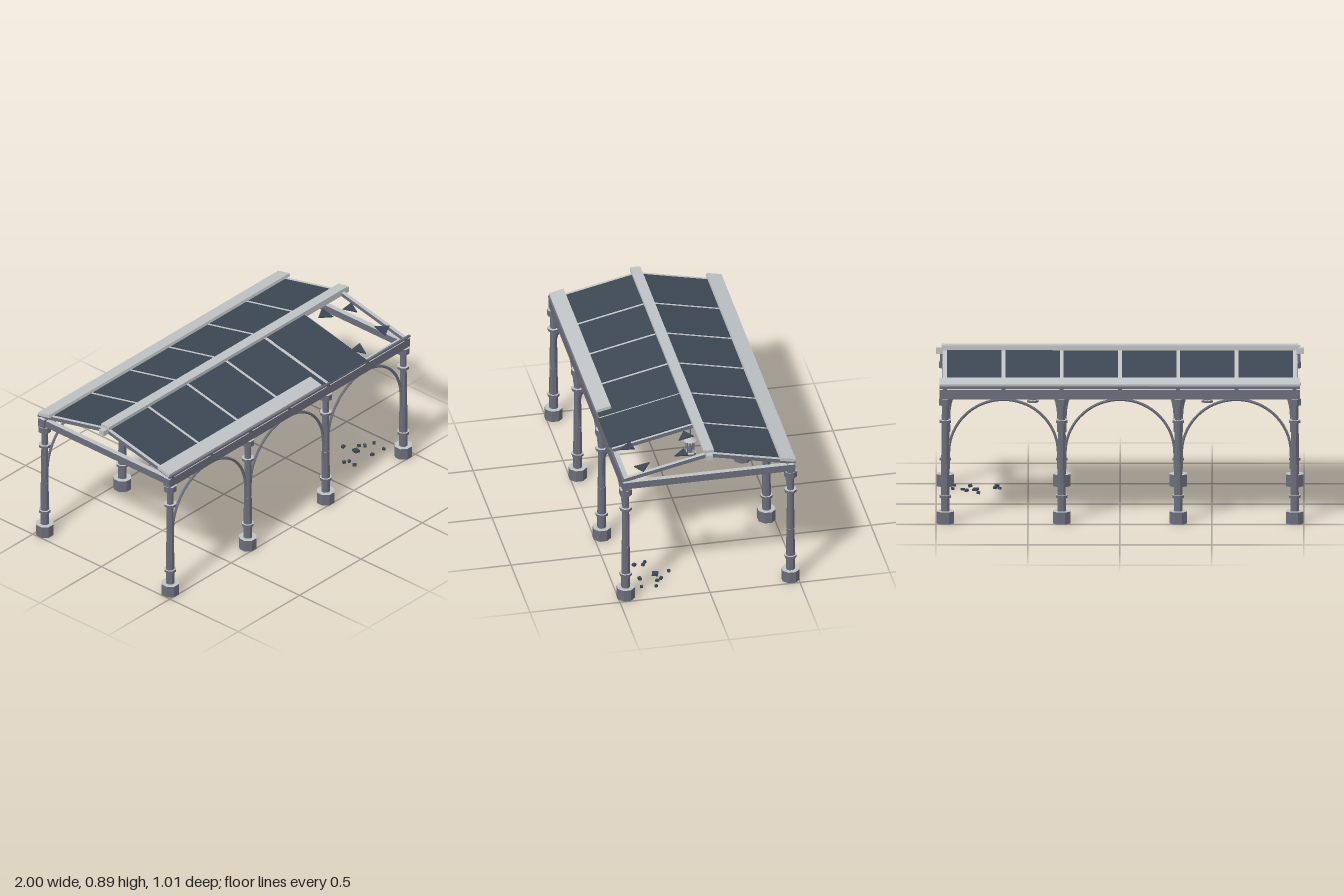
import * as THREE from 'three';

const mat = (name, color) => {
  const m = new THREE.MeshStandardMaterial({ color });
  m.name = name;
  return m;
};

export function createModel() {
  const root = new THREE.Group();
  root.name = 'canopy';
  const iron = mat('iron', 0x6b6d7b);
  const pale = mat('pale metal', 0xbfc2c4);
  const glass = mat('dark glass', 0x3c4753);
  iron.flatShading = true;
  const ironBox = [iron, iron, pale, iron, iron, iron]; // pale upper face
  const ironDrum = [iron, pale, iron];

  const add = (parent, name, geo, material, x = 0, y = 0, z = 0) => {
    const m = new THREE.Mesh(geo, material);
    m.name = name;
    m.position.set(x, y, z);
    parent.add(m);
    return m;
  };
  const box = (parent, name, w, h, d, material, x, y, z) =>
    add(parent, name, new THREE.BoxGeometry(w, h, d), material, x, y, z);
  const drum = (parent, name, r0, r1, y0, y1, x = 0, z = 0) =>
    add(parent, name, new THREE.CylinderGeometry(r1, r0, y1 - y0, 8).rotateY(Math.PI / 8), ironDrum, x, (y0 + y1) / 2, z);

  // Columns
  const columnX = [-0.95, -0.317, 0.317, 0.95];
  for (const x of columnX) {
    for (const z of [-0.458, 0.458]) {
      const column = new THREE.Group();
      column.name = 'column';
      column.position.set(x, 0, z);
      drum(column, 'columnBase', 0.051, 0.051, 0, 0.067);
      drum(column, 'lowerShaft', 0.025, 0.023, 0.067, 0.325);
      drum(column, 'upperShaft', 0.022, 0.0185, 0.325, 0.66);
      drum(column, 'lowerRing', 0.034, 0.034, 0.142, 0.157);
      drum(column, 'upperRing', 0.034, 0.034, 0.56, 0.575);
      drum(column, 'capital', 0.036, 0.036, 0.658, 0.693);
      root.add(column);
    }
    box(root, 'crossBeam', 0.03, 0.04, 0.88, ironBox, x, 0.715, 0);
  }

  // Long beams, eave rails and arches
  for (const z of [-0.458, 0.458]) {
    box(root, 'longBeam', 1.96, 0.053, 0.042, ironBox, 0, 0.7175, z);
    box(root, 'eaveRail', 1.96, 0.012, 0.012, iron, 0, 0.758, Math.sign(z) * 0.476);
    for (const x of [-0.633, 0, 0.633]) {
      const points = [new THREE.Vector3(-0.297, 0.3, 0)];
      for (let i = 0; i <= 16; i++) {
        const a = Math.PI * (1 - i / 16);
        points.push(new THREE.Vector3(Math.cos(a) * 0.297, 0.39 + Math.sin(a) * 0.297, 0));
      }
      points.push(new THREE.Vector3(0.297, 0.3, 0));
      const curve = new THREE.CatmullRomCurve3(points);
      add(root, 'arch', new THREE.TubeGeometry(curve, 36, 0.008, 6), iron, x, 0, z);
    }
  }

  // Sloping roof: s is +1 for the front, -1 for the back
  const angle = Math.atan(0.222);
  const onSlope = (mesh, s, z, lift) => {
    mesh.position.z = s * z;
    mesh.position.y = 0.853 - 0.222 * z + lift;
    mesh.rotation.x = s * angle;
    return mesh;
  };
  const slopeBox = (name, w, h, z0, z1, material, x, s, lift) =>
    onSlope(box(root, name, w, h, (z1 - z0) / Math.cos(angle), material, x, 0, 0), s, (z0 + z1) / 2, lift);

  for (const s of [1, -1]) {
    for (let i = 0; i < 7; i++) {
      slopeBox('rafter', 0.022, 0.021, 0.005, 0.48, ironBox, -0.95 + i * 0.3167, s, 0);
    }
    for (let i = 0; i < 6; i++) {
      if (s === 1 && i === 5) continue;
      const loose = s === 1 && i === 4;
      slopeBox('glassPanel', loose ? 0.304 : 0.297, 0.006, 0.02, 0.48, glass, -0.792 + i * 0.3167 + (loose ? 0.005 : 0), s, loose ? 0.016 : 0.011);
    }
  }
  slopeBox('backEaveBoard', 1.96, 0.018, 0.397, 0.48, pale, 0, -1, 0.022);
  slopeBox('frontEaveBoard', 1.242, 0.018, 0.393, 0.476, pale, -0.359, 1, 0.022);

  // Ridge
  box(root, 'ridgeBeam', 2, 0.032, 0.034, pale, 0, 0.857, 0);
  box(root, 'ridgeCap', 1.94, 0.018, 0.058, pale, 0, 0.881, 0);

  // Glass shards left in the broken bay: x, z, size, turn
  const shards = [[0.73, 0.08, 0.05, 0.5], [0.885, 0.13, 0.046, 0.1], [0.668, 0.385, 0.05, 2.2], [0.9, 0.355, 0.05, 1.5]];
  for (const [x, z, r, turn] of shards) {
    const geo = new THREE.CylinderGeometry(r, r, 0.006, 3).rotateY(turn);
    onSlope(add(root, 'glassShard', geo, glass, x, 0, 0), 1, z, 0.012);
  }

  // Broken glass on the ground: x, z, size
  const debris = [[0.77, 0.18, 0.011], [0.785, 0.26, 0.02], [0.835, 0.238, 0.011], [0.855, 0.262, 0.011], [0.91, 0.28, 0.009],
    [0.815, 0.352, 0.012], [0.9, 0.36, 0.009], [0.655, 0.29, 0.01], [0.68, 0.305, 0.01], [0.67, 0.352, 0.012]];
  debris.forEach(([x, z, r], i) => {
    const chunk = add(root, 'glassDebris', new THREE.BoxGeometry(r * 1.7, 0.013, r * 1.5), glass, x, 0.023, z);
    chunk.rotation.set(0.2 * Math.sin(i * 2), i * 1.3, 0.2 * Math.cos(i * 3));
  });

  // Hanging lanterns
  for (const x of [-0.475, 0.475]) {
    const lantern = new THREE.Group();
    lantern.name = 'lantern';
    lantern.position.x = x;
    add(lantern, 'hangingRod', new THREE.CylinderGeometry(0.004, 0.004, 0.17, 6), iron, 0, 0.762, 0);
    add(lantern, 'lanternRoof', new THREE.CylinderGeometry(0.008, 0.037, 0.024, 8), pale, 0, 0.668, 0);
    drum(lantern, 'lanternBase', 0.033, 0.033, 0.57, 0.582);
    add(lantern, 'lanternCore', new THREE.ConeGeometry(0.015, 0.07, 8), iron, 0, 0.617, 0);
    for (const px of [-0.019, 0.019]) {
      for (const pz of [-0.019, 0.019]) box(lantern, 'lanternPost', 0.005, 0.076, 0.005, iron, px, 0.62, pz);
    }
    root.add(lantern);
  }
  return root;
}
